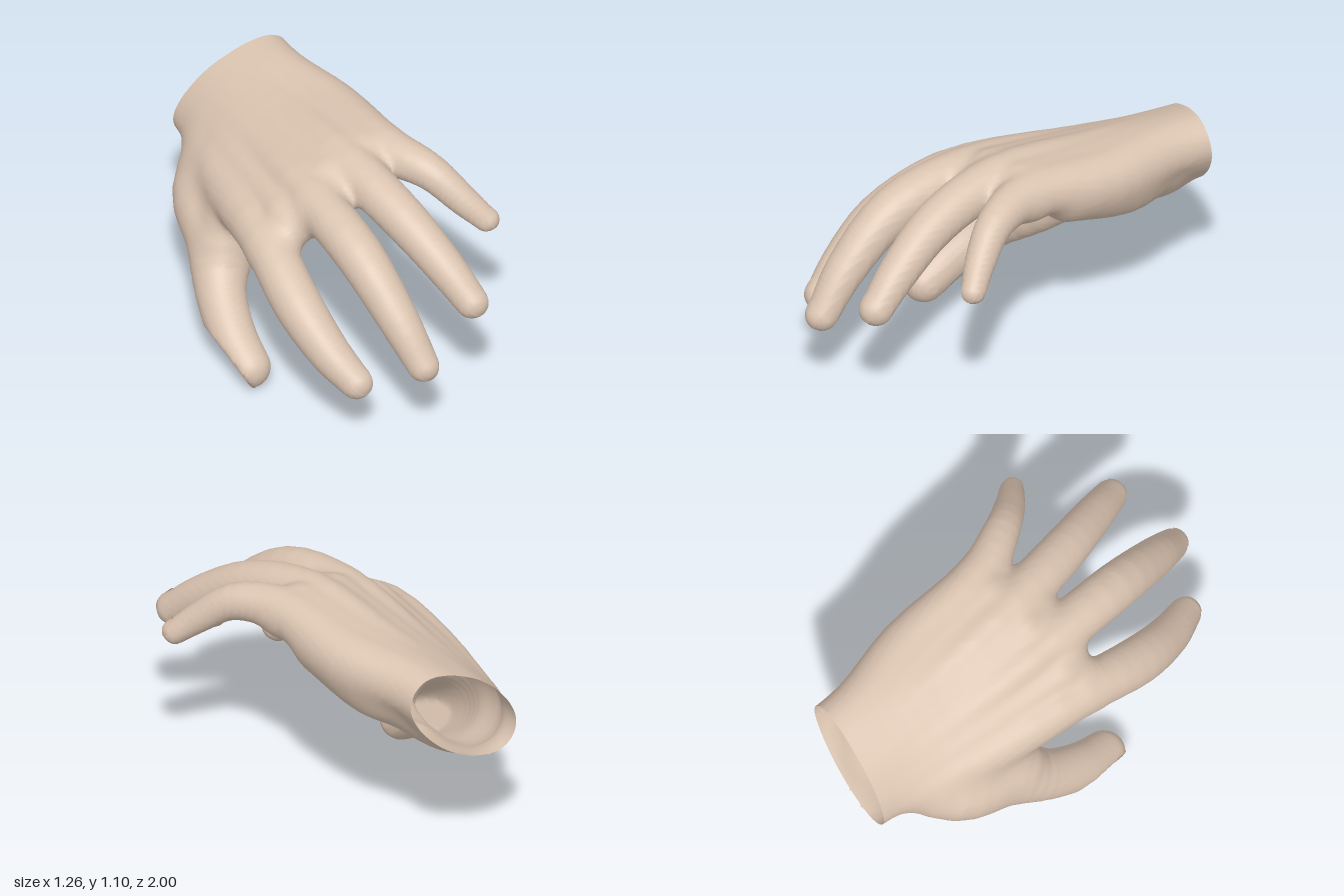
import * as THREE from 'three';

const skin = new THREE.MeshStandardMaterial({ color: 0xdac3b0, side: THREE.DoubleSide });
skin.name = 'skin';

// Bones as joints [x, y, z, radius]; the four fingers run from the wrist to the tip
const fingers = {
  index: [
    [-0.25, 0.692, -1.1, 0.118], [-0.255, 0.695, -0.8, 0.13], [-0.34, 0.71, -0.45, 0.135],
    [-0.395, 0.738, 0.1, 0.113], [-0.388, 0.608, 0.43, 0.112], [-0.325, 0.46, 0.65, 0.096],
    [-0.257, 0.367, 0.785, 0.077],
  ],
  middle: [
    [-0.143, 0.768, -1.1, 0.17], [-0.147, 0.775, -0.8, 0.165], [-0.17, 0.83, -0.45, 0.135],
    [-0.16, 0.912, 0.1, 0.113], [-0.108, 0.848, 0.49, 0.111], [-0.035, 0.64, 0.77, 0.094],
    [0.02, 0.467, 0.913, 0.075],
  ],
  ring: [
    [-0.037, 0.842, -1.1, 0.17], [-0.03, 0.85, -0.8, 0.165], [0.005, 0.915, -0.45, 0.135],
    [0.06, 0.988, 0.05, 0.113], [0.155, 0.912, 0.4, 0.105], [0.255, 0.768, 0.64, 0.091],
    [0.323, 0.647, 0.783, 0.077],
  ],
  little: [
    [0.07, 0.918, -1.1, 0.118], [0.085, 0.925, -0.8, 0.13], [0.185, 0.935, -0.45, 0.135],
    [0.255, 1.0, 0, 0.108], [0.375, 0.98, 0.21, 0.085], [0.483, 0.87, 0.335, 0.071],
    [0.565, 0.785, 0.407, 0.058],
  ],
};
const thumb = [
  [-0.14, 0.71, -0.85, 0.14], [-0.375, 0.555, -0.59, 0.165], [-0.42, 0.46, -0.36, 0.16],
  [-0.505, 0.315, -0.17, 0.118], [-0.525, 0.19, 0.01, 0.108], [-0.507, 0.1, 0.15, 0.1],
];
const heel = [[0.02, 0.81, -0.75, 0.14], [0.11, 0.83, -0.55, 0.15], [0.18, 0.895, -0.25, 0.13]];
const palm = [
  [-0.07, 0.76, -0.8, 0.16], [-0.08, 0.735, -0.45, 0.15], [-0.1, 0.805, -0.15, 0.125], [-0.11, 0.85, 0.08, 0.09],
];
const thenar = [[-0.24, 0.65, -0.5, 0.15], [-0.27, 0.69, -0.14, 0.11]];
const knuckleWeb = [
  [-0.39, 0.71, 0.13, 0.085], [-0.28, 0.81, 0.13, 0.09], [-0.155, 0.885, 0.14, 0.09],
  [0.06, 0.945, 0.08, 0.09], [0.25, 0.965, -0.01, 0.085],
];
const thumbWeb = [[-0.3, 0.66, -0.45, 0.1], [-0.4, 0.58, -0.3, 0.095], [-0.43, 0.52, -0.27, 0.09]];

const pathOf = (joints) =>
  new THREE.CatmullRomCurve3(joints.map(([x, y, z]) => new THREE.Vector3(x, y, z)));

// Smooth chain of tapered segments along a bone
function chain(joints) {
  const path = pathOf(joints);
  const size = new THREE.CatmullRomCurve3(joints.map((j, i) => new THREE.Vector3(i * 0.1, j[3], 0)));
  const n = (joints.length - 1) * 4, segments = [];
  for (let i = 0; i < n; i++) {
    const a = path.getPoint(i / n), d = path.getPoint((i + 1) / n).sub(a);
    const r = size.getPoint(i / n).y, dr = size.getPoint((i + 1) / n).y - r;
    segments.push({ a, d, r, dr, len2: d.lengthSq() });
  }
  return segments;
}

function chainDistance(segments, x, y, z) {
  let best = Infinity;
  for (const { a, d, r, dr, len2 } of segments) {
    const px = x - a.x, py = y - a.y, pz = z - a.z;
    const t = Math.min(1, Math.max(0, (px * d.x + py * d.y + pz * d.z) / len2));
    const qx = px - d.x * t, qy = py - d.y * t, qz = pz - d.z * t;
    best = Math.min(best, Math.sqrt(qx * qx + qy * qy + qz * qz) - r - dr * t);
  }
  return best;
}

// Flesh between two neighbouring bones of the back of the hand
const rays = Object.values(fingers);
const between = rays.slice(1).map((ray, i) =>
  ray.slice(0, 4).map((j, m) => j.map((v, c) => (v + rays[i][m][c]) / 2 - (c === 2 && m === 3 ? 0.05 : 0))));

// All bones melt together with soft creases; the thumb is flattened under its nail
const flesh = [
  ...rays.map((r) => [chain(r), 0.05]), ...between.map((b) => [chain(b), 0.03]),
  [chain(heel), 0.06], [chain(palm), 0.08], [chain(thenar), 0.08], [chain(knuckleWeb), 0.06],
  [chain(thumb), 0.08, true], [chain(thumbWeb), 0.08],
];
function field(x, y, z) {
  let sum = 10;
  for (const [segments, k, flat] of flesh) {
    let d = chainDistance(segments, x, y, z);
    if (flat) d = Math.max(d, -0.857 * x - 0.514 * y - 0.43);
    const h = Math.max(k - Math.abs(sum - d), 0) / k;
    sum = Math.min(sum, d) - h * h * k / 4;
  }
  return sum;
}

function finish(pos, index) {
  const geo = new THREE.BufferGeometry();
  geo.setAttribute('position', new THREE.Float32BufferAttribute(pos, 3));
  geo.setIndex(index);
  geo.computeVertexNormals();
  return geo;
}

// Skin: one vertex in every grid cell the surface crosses; the grid starts at the open wrist
function skinGeometry() {
  const step = 0.018, n = [76, 68, 114], stride = [1, n[0], n[0] * n[1]];
  const place = (i, j, k) => {
    const y = -0.04 + j * step;
    return [-0.68 + i * step, y, -0.99 + k * step + (y - 0.8) * 0.08];
  };
  const value = new Float32Array(n[0] * n[1] * n[2]);
  const vertex = new Int32Array(value.length).fill(-1);
  const pos = [], index = [];
  const each = (trim, visit) => {
    for (let k = 0; k < n[2] - trim; k++)
      for (let j = 0; j < n[1] - trim; j++)
        for (let i = 0; i < n[0] - trim; i++) visit(i, j, k, i + j * stride[1] + k * stride[2]);
  };
  each(0, (i, j, k, p) => { value[p] = field(...place(i, j, k)); });

  each(1, (i, j, k, p) => {
    if (Math.abs(value[p]) > step * 3) return;
    const corner = (c) => value[p + (c & 1) + (c >> 1 & 1) * stride[1] + (c >> 2) * stride[2]];
    const mean = [0, 0, 0];
    let hits = 0;
    for (let c = 0; c < 8; c++) {
      for (let axis = 0; axis < 3; axis++) {
        const e = c | (1 << axis);
        if (e === c || (corner(c) < 0) === (corner(e) < 0)) continue;
        const t = corner(c) / (corner(c) - corner(e));
        for (let m = 0; m < 3; m++) mean[m] += (c >> m & 1) + (m === axis ? t : 0);
        hits++;
      }
    }
    if (!hits) return;
    vertex[p] = pos.length / 3;
    pos.push(...place(i + mean[0] / hits, j + mean[1] / hits, k + mean[2] / hits));
  });

  each(1, (i, j, k, p) => {
    for (let axis = 0; axis < 3; axis++) {
      const inside = value[p] < 0;
      if (inside === (value[p + stride[axis]] < 0)) continue;
      const b = stride[(axis + 1) % 3], c = stride[(axis + 2) % 3];
      const quad = [p, p - b, p - b - c, p - c].map((q) => vertex[q]);
      if (!quad.every((v) => v >= 0)) continue;
      if (!inside) quad.reverse();
      index.push(quad[0], quad[1], quad[2], quad[0], quad[2], quad[3]);
    }
  });
  return finish(pos, index);
}

// Nail: thin oval plate dropped onto the fingertip from its back side
function nailGeometry(joints, back) {
  const T = pathOf(joints).getTangent(1), [x, y, z, r] = joints[joints.length - 1];
  const S = new THREE.Vector3(...back).cross(T).normalize();
  const D = T.clone().cross(S).addScaledVector(T, 0.4).normalize();
  const L = D.clone().cross(S);
  const rings = 5, cols = 24, pos = [], index = [];
  for (let i = 0; i <= rings; i++) {
    for (let j = 0; j < cols; j++) {
      const a = -j / cols * Math.PI * 2, q = Math.max(i / rings, 0.001) * r;
      const p = new THREE.Vector3(x, y, z)
        .addScaledVector(S, 0.72 * q * Math.cos(a))
        .addScaledVector(L, 0.88 * q * Math.sin(a))
        .addScaledVector(D, 2 * r);
      for (let s = 0; s < 16; s++) p.addScaledVector(D, -field(p.x, p.y, p.z));
      pos.push(...p.addScaledVector(D, 0.004).toArray());
      if (i === rings) continue;
      const v = i * cols + j, w = i * cols + (j + 1) % cols;
      index.push(v, w, v + cols, w, w + cols, v + cols);
    }
  }
  return finish(pos, index);
}

export function createModel() {
  const hand = new THREE.Group();
  hand.name = 'hand';
  const add = (name, geo) => {
    const mesh = new THREE.Mesh(geo, skin);
    mesh.name = name;
    hand.add(mesh);
  };
  add('handSkin', skinGeometry());
  for (const [name, joints] of Object.entries(fingers)) add(name + 'Nail', nailGeometry(joints, [-0.25, 1, 0]));
  add('thumbNail', nailGeometry(thumb, [-0.86, -0.4, 0]));
  return hand;
}
